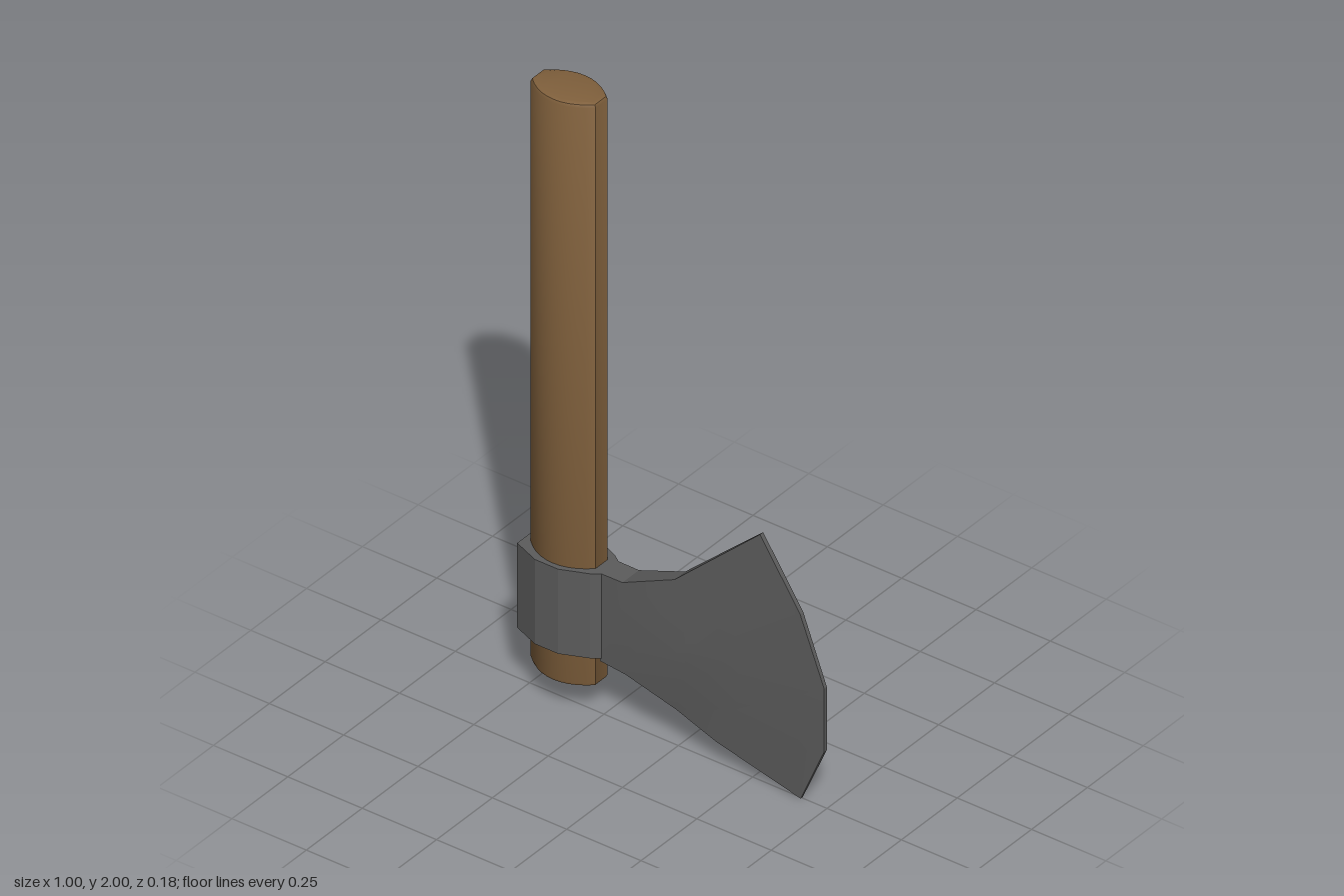
import * as THREE from 'three';
import { toCreasedNormals } from 'three/addons/utils/BufferGeometryUtils.js';

const wood = new THREE.MeshStandardMaterial({ color: 0x80603c });
wood.name = 'wood';
const steel = new THREE.MeshStandardMaterial({ color: 0x5c5c5c });
steel.name = 'dark steel';

// Upright prism from a plan outline
function prism(shape, y0, y1, bevel) {
  const geo = new THREE.ExtrudeGeometry(shape, {
    depth: y1 - y0 - 2 * bevel, bevelEnabled: bevel > 0, bevelSize: bevel,
    bevelThickness: bevel, bevelOffset: -bevel, bevelSegments: 2, curveSegments: 10,
  });
  geo.rotateX(-Math.PI / 2);
  geo.translate(0, y0 + bevel, 0);
  return geo;
}

// Blade: each column runs bottom to top as [x, y, half thickness]
function bladeGeometry() {
  const columns = [
    [[-0.235, 0.205, 0.038], [-0.235, 0.28, 0.038], [-0.235, 0.35, 0.038], [-0.235, 0.42, 0.038], [-0.235, 0.49, 0.038]],
    [[-0.15, 0.195, 0.037], [-0.14, 0.27, 0.038], [-0.13, 0.345, 0.038], [-0.14, 0.42, 0.038], [-0.16, 0.49, 0.037]],
    [[0.01, 0.14, 0.024], [0.04, 0.25, 0.034], [0.055, 0.35, 0.038], [0.04, 0.45, 0.034], [0.005, 0.56, 0.024]],
    [[0.14, 0.085, 0.018], [0.21, 0.22, 0.021], [0.22, 0.37, 0.022], [0.2, 0.52, 0.021], [0.14, 0.683, 0.016]],
    [[0.415, 0.005, 0.005], [0.495, 0.19, 0.006], [0.495, 0.395, 0.006], [0.415, 0.605, 0.007], [0.28, 0.81, 0.007]],
  ];
  const pos = [];
  const at = (c, r, s) => [columns[c][r][0], columns[c][r][1], s * columns[c][r][2]];
  const quad = (a, b, c, d) => pos.push(...a, ...b, ...c, ...a, ...c, ...d);
  for (let c = 0; c < 4; c++) {
    // Both cheeks
    for (let r = 0; r < 4; r++) {
      quad(at(c, r, 1), at(c + 1, r, 1), at(c + 1, r + 1, 1), at(c, r + 1, 1));
      quad(at(c, r + 1, -1), at(c + 1, r + 1, -1), at(c + 1, r, -1), at(c, r, -1));
    }
    // Lower and upper rims
    quad(at(c, 0, -1), at(c + 1, 0, -1), at(c + 1, 0, 1), at(c, 0, 1));
    quad(at(c, 4, 1), at(c + 1, 4, 1), at(c + 1, 4, -1), at(c, 4, -1));
  }
  // Root and cutting edge
  for (let r = 0; r < 4; r++) {
    quad(at(0, r, -1), at(0, r, 1), at(0, r + 1, 1), at(0, r + 1, -1));
    quad(at(4, r, 1), at(4, r, -1), at(4, r + 1, -1), at(4, r + 1, 1));
  }
  const geo = new THREE.BufferGeometry();
  geo.setAttribute('position', new THREE.Float32BufferAttribute(pos, 3));
  return toCreasedNormals(geo, 0.1);
}

export function createModel() {
  const group = new THREE.Group();
  group.name = 'axe';
  const add = (name, geo, mat) => {
    const mesh = new THREE.Mesh(geo, mat);
    mesh.name = name;
    group.add(mesh);
  };

  // Lens-shaped shaft with blunt ends
  const plan = new THREE.Shape();
  plan.moveTo(-0.476, -0.027);
  plan.bezierCurveTo(-0.41, -0.091, -0.325, -0.091, -0.258, -0.027);
  plan.lineTo(-0.258, 0.027);
  plan.bezierCurveTo(-0.325, 0.091, -0.41, 0.091, -0.476, 0.027);
  plan.closePath();
  add('handle', toCreasedNormals(prism(plan, 0.105, 2, 0.012), 0.45), wood);

  // Faceted socket around the shaft
  const half = [[-0.5, 0.056], [-0.415, 0.09], [-0.337, 0.09], [-0.255, 0.056], [-0.23, 0.038]];
  const outline = [
    ...half.map(([x, z]) => new THREE.Vector2(x, -z)),
    ...half.reverse().map(([x, z]) => new THREE.Vector2(x, z)),
  ];
  add('socket', toCreasedNormals(prism(new THREE.Shape(outline), 0.215, 0.49, 0), 0.1), steel);

  add('blade', bladeGeometry(), steel);
  return group;
}
